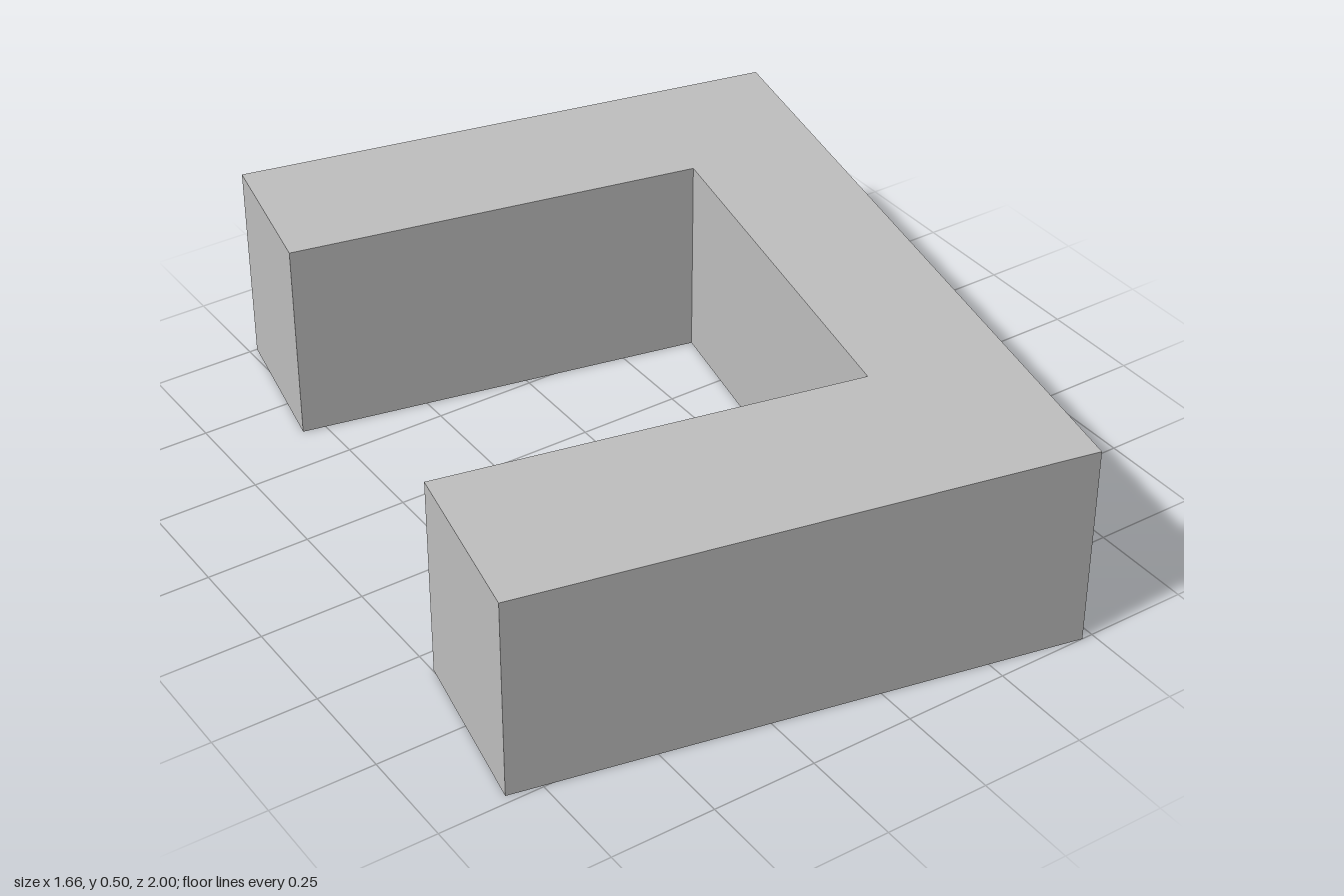
import * as THREE from 'three';

const HEIGHT = 0.5;

// Ground plan as [x, z] corners, anticlockwise seen from above
const PLAN = [
  [-0.83, 0.73], [0.473, 1], [0.83, -0.73], [-0.48, -1],
  [-0.555, -0.626], [0.428, -0.425], [0.238, 0.508], [-0.748, 0.307],
];

export function createModel() {
  const model = new THREE.Group();
  model.name = 'uShapedBuilding';
  const grey = new THREE.MeshStandardMaterial({ color: 0xc0c0c0, side: THREE.DoubleSide });
  grey.name = 'plain grey';

  // Flat roof
  const outline = new THREE.Shape(PLAN.map(([x, z]) => new THREE.Vector2(x, -z)));
  const roofGeometry = new THREE.ShapeGeometry(outline);
  roofGeometry.rotateX(-Math.PI / 2).translate(0, HEIGHT, 0);
  const roof = new THREE.Mesh(roofGeometry, grey);
  roof.name = 'roof';
  model.add(roof);

  // One upright wall per side of the plan; the underside stays open
  const walls = new THREE.Group();
  walls.name = 'walls';
  PLAN.forEach(([ax, az], i) => {
    const [bx, bz] = PLAN[(i + 1) % PLAN.length];
    const geometry = new THREE.PlaneGeometry(Math.hypot(bx - ax, bz - az), HEIGHT);
    geometry.rotateY(Math.atan2(az - bz, bx - ax));
    const wall = new THREE.Mesh(geometry, grey);
    wall.position.set((ax + bx) / 2, HEIGHT / 2, (az + bz) / 2);
    wall.name = `wall${i + 1}`;
    walls.add(wall);
  });
  model.add(walls);

  return model;
}
